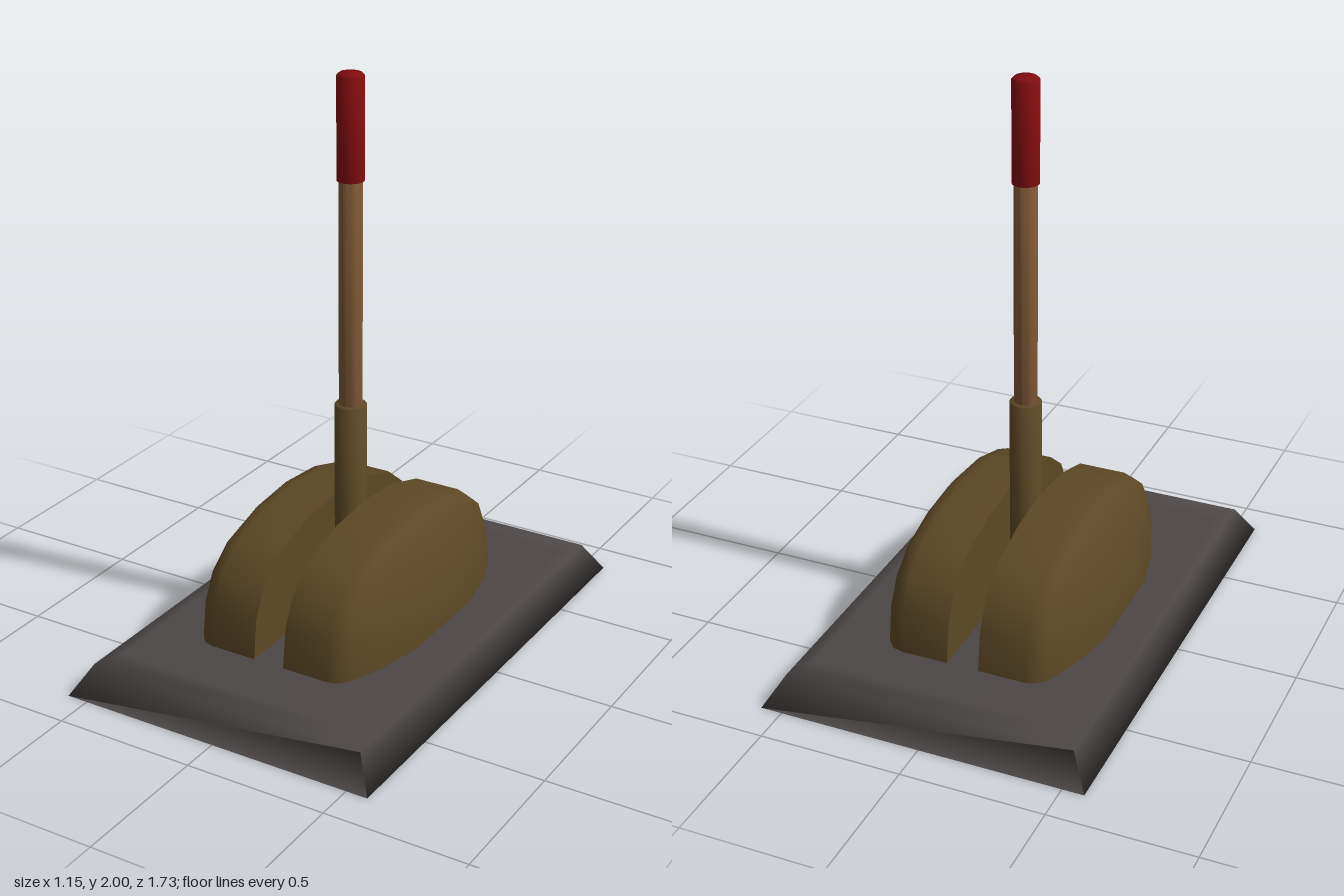
import * as THREE from 'three';
import { toCreasedNormals } from 'three/addons/utils/BufferGeometryUtils.js';

const CX = -0.009, CZ = -0.013; // shared axis of the lever and its housing

function material(name, color) {
  const m = new THREE.MeshStandardMaterial({ color });
  m.name = name;
  return m;
}

// Closed solid through rings of [x, y, z], counter-clockwise about the loft direction
function loft(rings) {
  const n = rings[0].length, last = (rings.length - 1) * n, index = [];
  for (let i = 0; i < rings.length - 1; i++) {
    for (let j = 0; j < n; j++) {
      const a = i * n + j, b = i * n + (j + 1) % n;
      index.push(a, b, b + n, a, b + n, a + n);
    }
  }
  for (let j = 1; j < n - 1; j++) {
    index.push(0, j + 1, j, last, last + j, last + j + 1);
  }
  const g = new THREE.BufferGeometry();
  g.setAttribute('position', new THREE.Float32BufferAttribute(rings.flat(2), 3));
  g.setIndex(index);
  g.computeVertexNormals();
  return g;
}

// Bevelled slab with a thin raised panel, softly shaded over its edges
function baseGeometry() {
  const levels = [[0.576, 0, 0.866], [0.512, 0.108, 0.8], [0.467, 0.11, 0.702], [0.467, 0.117, 0.702]];
  return loft(levels.map(([x, y, z]) => [[x, y, z], [x, y, -z], [-x, y, -z], [-x, y, z]]));
}

// Arched housing half; side is 1 or -1
function housingGeometry(side) {
  const y0 = 0.11;
  const half = [[0.53, 0], [0.511, 0.15], [0.46, 0.253], [0.36, 0.332], [0.19, 0.383]];
  const arch = [
    ...half.map(([z, y]) => [-z, y]), [0, 0.4],
    ...half.slice().reverse(),
  ];
  if (side < 0) arch.reverse();
  // distance from the centre, depth scale, height scale
  const sections = [
    [0.057, 1, 1], [0.225, 1, 1], [0.262, 0.98, 0.975],
    [0.292, 0.91, 0.88], [0.335, 0.7, 0.63], [0.373, 0.36, 0.37],
  ];
  const rings = sections.map(([x, sz, sy]) =>
    arch.map(([z, y]) => [CX + side * x, y0 + y * sy, CZ + z * sz]));
  return toCreasedNormals(loft(rings), 0.85);
}

// Round rod with a small chamfer at the top
function rodGeometry(radius, bottom, top, chamfer) {
  const points = [
    [0, bottom], [radius, bottom], [radius, top - chamfer], [radius - chamfer, top], [0, top],
  ].map(([x, y]) => new THREE.Vector2(x, y));
  return toCreasedNormals(new THREE.LatheGeometry(points, 24), 0.9);
}

export function createModel() {
  const group = new THREE.Group();
  const darkMetal = material('dark metal', 0x4c4646);
  const bronze = material('bronze', 0x5d4826);
  const wood = material('wood', 0x7a5534);
  const red = material('red', 0x800c0f);

  function add(name, geometry, mat, x = 0, z = 0) {
    const mesh = new THREE.Mesh(geometry, mat);
    mesh.name = name;
    mesh.position.set(x, 0, z);
    group.add(mesh);
  }

  // Base and housing
  add('base', baseGeometry(), darkMetal);
  add('leftHousing', housingGeometry(1), bronze);
  add('rightHousing', housingGeometry(-1), bronze);

  // Lever
  add('leverSleeve', rodGeometry(0.055, 0.1, 0.86, 0.004), bronze, CX, CZ);
  add('leverShaft', rodGeometry(0.04, 0.8, 1.7, 0.004), wood, CX, CZ);
  add('leverGrip', rodGeometry(0.046, 1.645, 2, 0.009), red, CX, CZ);

  return group;
}
